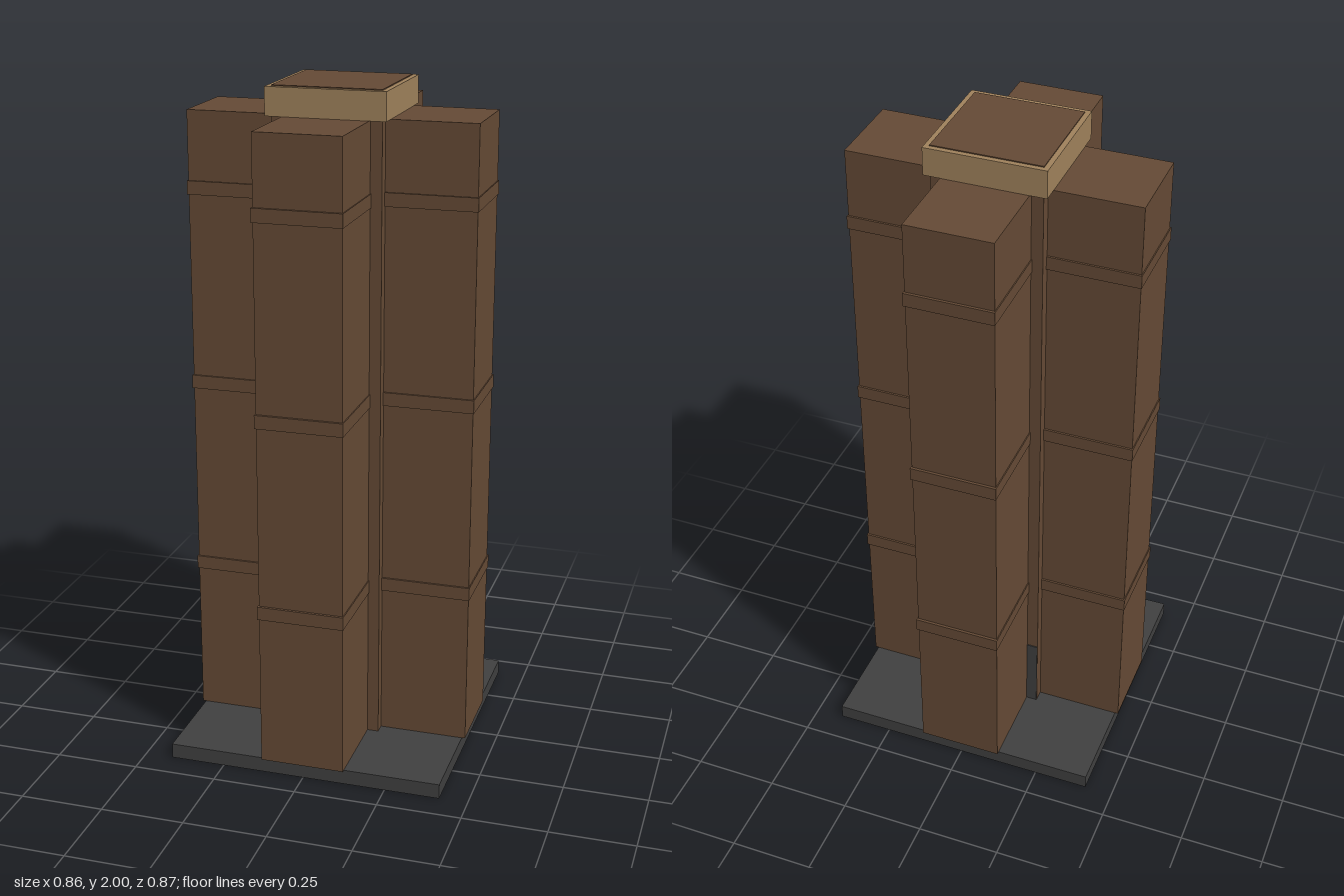
import * as THREE from 'three';

export function createModel() {
  const model = new THREE.Group();
  model.name = 'crossPlanTower';

  const brick = new THREE.MeshStandardMaterial({ color: 0x654a35 });
  brick.name = 'brown brick';
  const stone = new THREE.MeshStandardMaterial({ color: 0xa0825c });
  stone.name = 'tan stone';
  const slate = new THREE.MeshStandardMaterial({ color: 0x404040 });
  slate.name = 'dark grey';

  // Box given by its width, depth, bottom, top and centre in plan
  function box(name, material, w, d, y0, y1, x = 0, z = 0) {
    const mesh = new THREE.Mesh(new THREE.BoxGeometry(w, y1 - y0, d), material);
    mesh.position.set(x, (y0 + y1) / 2, z);
    mesh.name = name;
    model.add(mesh);
  }

  const ground = 0.045, roof = 1.915;

  box('basePlate', slate, 0.83, 0.83, 0, ground);

  // Square core rising through the roof, ringed by the parapet
  box('core', brick, 0.32, 0.32, ground, 2);
  box('parapet', stone, 0.35, 0.35, roof, 1.997);

  // Dark entrance panel on the back of the core
  box('entrancePanel', slate, 0.318, 0.006, ground, 0.28, 0, -0.16);

  // Four wings, each wrapped by three shallow bands
  const bandHeights = [0.525, 1.108, 1.692];
  for (const s of [-1, 1]) {
    box('sideWing', brick, 0.3, 0.254, ground, roof, s * 0.275, 0);
    box('endWing', brick, 0.252, 0.3, ground, roof, 0, s * 0.275);
    for (const y of bandHeights) {
      box('sideWingBand', brick, 0.298, 0.266, y - 0.02, y + 0.02, s * 0.279, 0);
      box('endWingBand', brick, 0.258, 0.3, y - 0.02, y + 0.02, 0, s * 0.283);
    }
  }

  return model;
}
